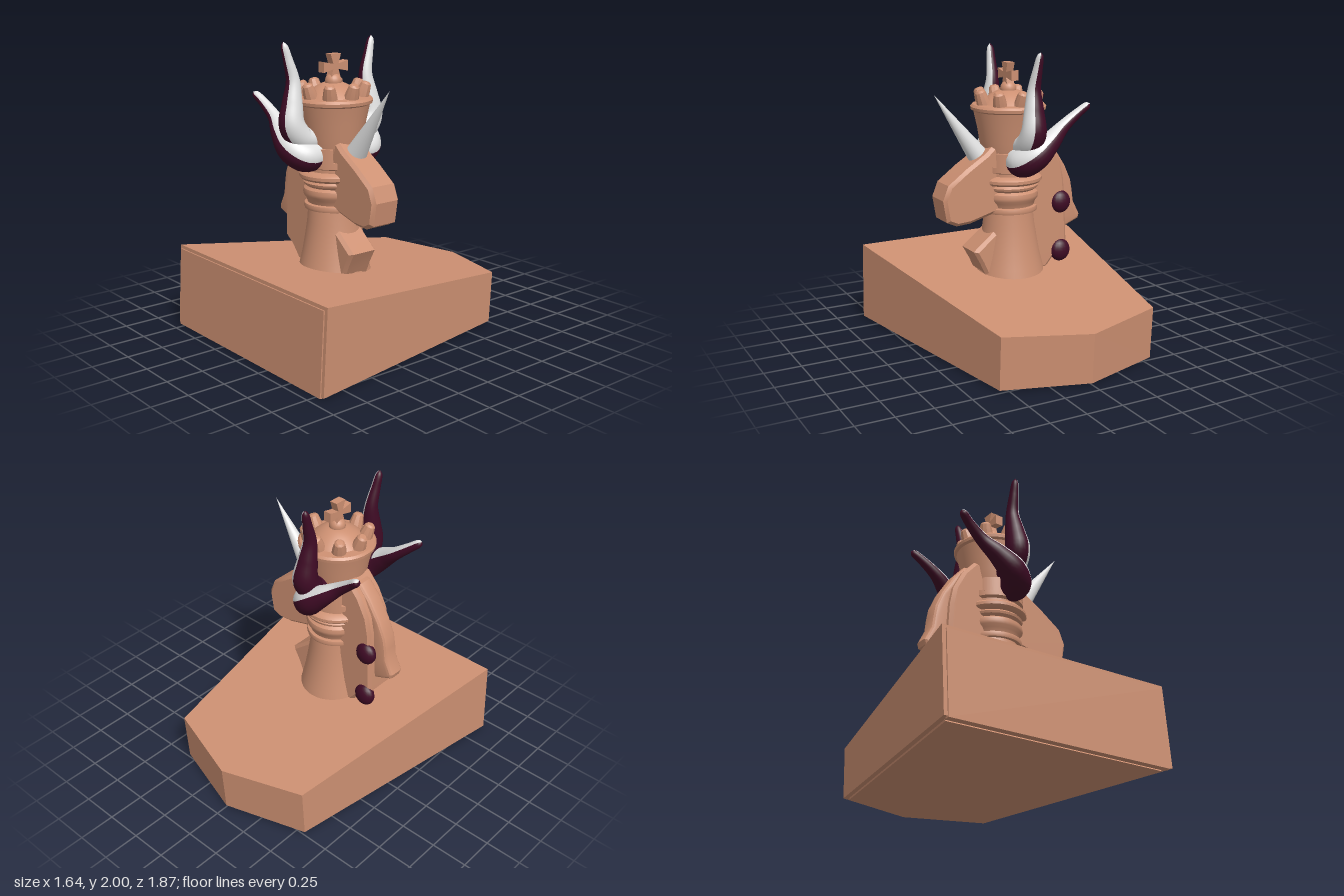
import * as THREE from 'three';
import { toCreasedNormals } from 'three/addons/utils/BufferGeometryUtils.js';
import { ParametricGeometry } from 'three/addons/geometries/ParametricGeometry.js';

const AXIS_Z = 0.195; // the tower stands a little in front of the centre

const mat = (name, color) => {
  const m = new THREE.MeshStandardMaterial({ color });
  m.name = name;
  return m;
};
const shapeOf = (pts) => new THREE.Shape(pts.map(([x, y]) => new THREE.Vector2(x, y)));

// Side profile extruded symmetrically along z, with a bevelled edge
function slab(pts, width, bevel, segments = 1) {
  const g = new THREE.ExtrudeGeometry(shapeOf(pts), {
    depth: width - 2 * bevel, bevelEnabled: bevel > 0, bevelSize: bevel,
    bevelThickness: bevel, bevelOffset: -bevel, bevelSegments: segments,
  });
  g.translate(0, 0, bevel - width / 2);
  return toCreasedNormals(g, 0.5);
}

// Five-sided wedge: the outline is extruded upwards, then its top is sloped
function wedge(scale, bottom, topAt) {
  const outline = [[-0.82, -0.895], [0.82, -0.895], [0.56, 0.76], [0, 0.935], [-0.56, 0.76]];
  const g = new THREE.ExtrudeGeometry(shapeOf(outline.map(([x, y]) => [x * scale, y * scale])),
    { depth: 1, bevelEnabled: false });
  g.rotateX(-Math.PI / 2);
  const p = g.attributes.position;
  for (let i = 0; i < p.count; i++) {
    const z = p.getZ(i);
    if (p.getY(i) > 0.5) p.setY(i, topAt(z));
    else p.setXYZ(i, p.getX(i), bottom, -0.915 * scale + (z + 0.935 * scale) * 1.008);
  }
  g.computeVertexNormals();
  return g;
}

// One colour strip of a horn; each station is [radius, along, outward]
function hornStrip(stations, side, from, to) {
  const curve = new THREE.CatmullRomCurve3(stations.map((s) => new THREE.Vector3(...s)));
  return new ParametricGeometry((u, v, target) => {
    const k = side > 0 ? 1 - u : u;
    const a = from + (to - from) * k;
    const c = curve.getPoint(v);
    const d = curve.getTangent(v);
    const len = Math.hypot(d.y, d.z) || 1;
    const r = Math.max(c.x, 0.003);
    const off = r * Math.sin(a);
    target.set(r * Math.cos(a), c.y - (d.z / len) * off, side * (c.z + (d.y / len) * off));
  }, 14, 36);
}

export function createModel() {
  const model = new THREE.Group();
  const wood = mat('terracotta', 0xcd9072);
  const white = mat('ivory white', 0xe2e2e2);
  const dark = mat('dark plum', 0x3f0b25);

  const add = (parent, name, geometry, material) => {
    const m = new THREE.Mesh(geometry, material);
    m.name = name;
    parent.add(m);
    return m;
  };

  // Sloping pedestal with a foot plate and a front panel
  add(model, 'pedestal', wedge(1, 0.012, (z) => 0.345 + (z + 0.935) * 0.1202), wood);
  add(model, 'footPlate', wedge(0.95, 0, () => 0.03), wood);
  const panel = add(model, 'frontPanel', new THREE.BoxGeometry(1.59, 0.54, 0.03), wood);
  panel.position.set(0, 0.272, 0.907);
  panel.rotation.x = -0.059;

  const piece = new THREE.Group();
  piece.name = 'chessPiece';
  piece.position.z = AXIS_Z;
  model.add(piece);

  const lathe = (name, pts) => add(piece, name, toCreasedNormals(
    new THREE.LatheGeometry(pts.map(([r, y]) => new THREE.Vector2(r, y)), 40), 0.6), wood);

  // Tower body with turned collars
  lathe('towerBody', [
    [0, 0.4], [0.258, 0.4], [0.235, 0.5], [0.212, 0.6], [0.195, 0.7], [0.18, 0.8], [0.172, 0.89],
    [0.195, 0.89], [0.2, 0.905], [0.195, 0.925], [0.175, 0.93], [0.185, 0.96],
    [0.2, 0.98], [0.205, 1.0], [0.2, 1.025], [0.18, 1.04], [0.2, 1.055], [0.205, 1.07],
    [0.19, 1.085], [0.215, 1.09], [0.23, 1.105], [0.23, 1.125], [0.215, 1.14], [0.185, 1.15],
    [0.185, 1.17], [0.21, 1.18], [0.21, 1.22], [0.175, 1.22], [0.175, 1.32],
  ]);

  // Tower battlements
  for (let i = 0; i < 6; i++) {
    const a = (i / 6) * Math.PI * 2;
    const s = new THREE.Shape();
    s.absarc(0, 0, 0.21, a - 0.36, a + 0.36, false);
    s.absarc(0, 0, 0.15, a + 0.36, a - 0.36, true);
    const g = new THREE.ExtrudeGeometry(s, { depth: 0.1, bevelEnabled: false, curveSegments: 8 });
    g.rotateX(-Math.PI / 2);
    g.translate(0, 1.21, 0);
    add(piece, 'battlement', g, wood);
  }

  // Flared crown with dome and finial ball
  lathe('crown', [
    [0, 1.28], [0.178, 1.28], [0.2, 1.38], [0.212, 1.46], [0.238, 1.58], [0.255, 1.59],
    [0.258, 1.61], [0.245, 1.625], [0.19, 1.63], [0.17, 1.65], [0.12, 1.69], [0.07, 1.715], [0, 1.72],
  ]);
  const ball = add(piece, 'finialBall', new THREE.SphereGeometry(0.055, 20, 14), wood);
  ball.position.y = 1.725;

  // Ring of crown points leaning outwards
  for (let i = 0; i < 8; i++) {
    const pivot = new THREE.Group();
    pivot.name = 'crownPoint';
    pivot.rotation.y = (i / 8) * Math.PI * 2;
    piece.add(pivot);
    const p = add(pivot, 'point', toCreasedNormals(new THREE.LatheGeometry(
      [[0.052, -0.07], [0.045, 0], [0.035, 0.05], [0.022, 0.062], [0, 0.064]]
        .map(([r, y]) => new THREE.Vector2(r, y)), 10), 0.6), wood);
    p.position.set(0.195, 1.665, 0);
    p.rotation.z = -0.35;
  }

  // Flared cross facing sideways
  const arm = [[0.018, 0.018], [0.035, 0.082], [-0.035, 0.082], [-0.018, 0.018]];
  const crossPts = [];
  for (let i = 0; i < 4; i++) {
    const c = Math.cos(i * Math.PI / 2), s = Math.sin(i * Math.PI / 2);
    arm.forEach(([x, y]) => crossPts.push([(x * c - y * s) * 1.2, x * s + y * c]));
  }
  const cross = add(piece, 'cross', slab(crossPts, 0.055, 0), wood);
  cross.position.y = 1.822;
  cross.rotation.y = Math.PI / 2;

  // Horse head, neck and chest running through the tower
  add(piece, 'horse', slab([
    [-0.24, 0.45], [0.22, 0.45], [0.265, 0.55], [0.315, 0.64], [0.18, 0.75], [0.1, 0.82], [0.16, 0.895],
    [0.34, 0.845], [0.44, 0.838], [0.51, 0.87], [0.535, 1.02], [0.495, 1.12], [0.36, 1.22], [0.22, 1.31],
    [0.1, 1.42], [-0.2, 1.43], [-0.29, 1.33], [-0.36, 1.2], [-0.385, 1.08], [-0.4, 0.85], [-0.41, 0.62],
    [-0.33, 0.56],
  ], 0.22, 0.022), wood);

  // Mane along the back of the neck
  add(piece, 'mane', slab([
    [-0.15, 1.42], [-0.25, 1.4], [-0.33, 1.31], [-0.42, 1.17], [-0.47, 1.06], [-0.485, 0.98], [-0.495, 0.9],
    [-0.545, 0.8], [-0.535, 0.765], [-0.4, 0.71], [-0.35, 0.8], [-0.34, 1.1], [-0.25, 1.3],
  ], 0.125, 0.03, 3), wood);

  // Dark lumps on the far side of the neck
  for (const y of [0.92, 0.57]) {
    const lump = add(piece, 'neckLump', new THREE.SphereGeometry(0.08, 16, 12), dark);
    lump.scale.set(0.95, 1, 0.65);
    lump.position.set(-0.355, y, -0.1);
  }

  // Forehead spike
  const spike = add(piece, 'foreheadSpike', new THREE.ConeGeometry(0.068, 0.52, 28), white);
  spike.position.set(0.397, 1.51, 0);
  spike.rotation.z = -Math.atan2(0.305, 0.42);

  // Two pairs of curved horns, pale on the inner face and dark around the rest
  const horns = [
    { name: 'sweptHorn', x: 0.02, y: 1.26, turn: 0.9, path: [
      [0.085, 0, 0.15], [0.1, 0, 0.25], [0.095, 0.08, 0.31], [0.07, 0.22, 0.31],
      [0.045, 0.36, 0.285], [0.032, 0.5, 0.295], [0.022, 0.585, 0.315], [0, 0.6, 0.32]] },
    { name: 'uprightHorn', x: -0.01, y: 1.36, turn: 0.06, path: [
      [0.07, 0, 0.15], [0.085, 0.02, 0.26], [0.085, 0.11, 0.325], [0.068, 0.24, 0.315],
      [0.045, 0.39, 0.3], [0.032, 0.52, 0.33], [0.02, 0.615, 0.355], [0, 0.638, 0.36]] },
  ];
  const split = 1.15;
  for (const h of horns) for (const side of [1, -1]) {
    const horn = new THREE.Group();
    horn.name = h.name;
    horn.position.set(h.x, h.y, 0);
    horn.rotation.z = h.turn;
    piece.add(horn);
    add(horn, 'paleFace', hornStrip(h.path, side, -split, split), white);
    add(horn, 'darkFace', hornStrip(h.path, side, split, Math.PI * 2 - split), dark);
  }

  return model;
}
